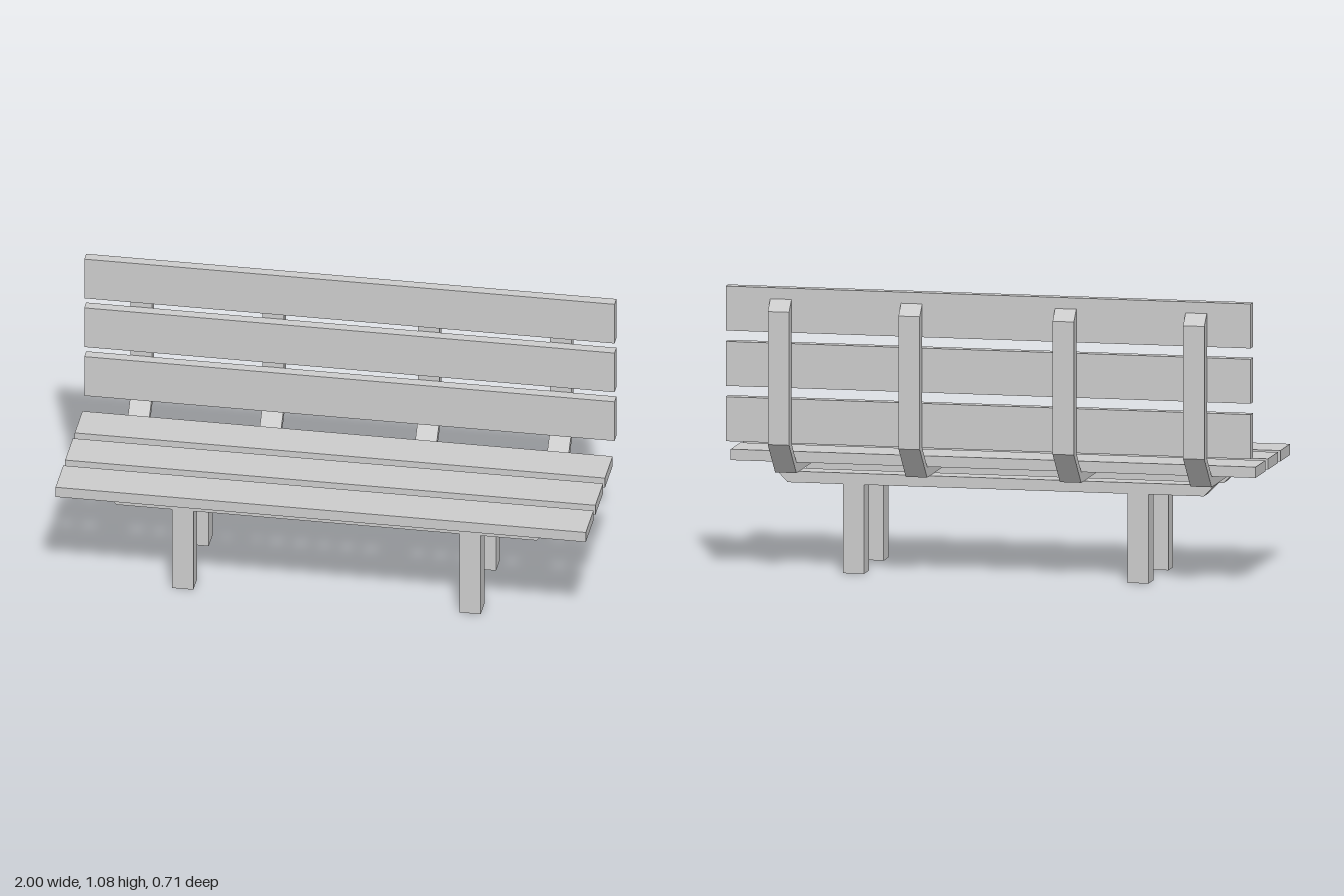
import * as THREE from 'three';

const material = new THREE.MeshStandardMaterial({ color: 0xcccccc, flatShading: true });

// Extrude a 2D outline, centred on its depth
function extrudeOutline(points, depth) {
  const shape = new THREE.Shape(points.map(([x, y]) => new THREE.Vector2(x, y)));
  return new THREE.ExtrudeGeometry(shape, { depth, bevelEnabled: false }).translate(0, 0, -depth / 2);
}

export function createModel() {
  const bench = new THREE.Group();
  bench.name = 'bench';

  function add(name, geometry, x, y, z) {
    const mesh = new THREE.Mesh(geometry, material);
    mesh.name = name;
    mesh.position.set(x, y, z);
    bench.add(mesh);
  }

  // Three flat seat planks and three upright back planks
  const seatPlank = new THREE.BoxGeometry(2, 0.041, 0.167);
  const backPlank = new THREE.BoxGeometry(2, 0.167, 0.041);
  for (let i = 0; i < 3; i++) {
    add('seatPlank', seatPlank, 0, 0.438, 0.271 - i * 0.2085);
    add('backPlank', backPlank, 0, 0.5845 + i * 0.208, -0.2915);
  }

  // Bent brackets running under the seat and up behind the back (outline in z, y)
  const bracket = extrudeOutline([
    [0.314, 0.4175], [0.272, 0.377], [-0.23, 0.377], [-0.354, 0.5], [-0.354, 1.0],
    [-0.312, 1.042], [-0.312, 0.501], [-0.229, 0.4175],
  ], 0.081).rotateY(-Math.PI / 2);
  for (const x of [-0.792, -0.295, 0.292, 0.79]) add('seatBracket', bracket, x, 0, 0);

  // Front and rear leg frames: a chamfered cross rail with two legs
  const half = [[0.833, 0.377], [0.793, 0.335], [0.582, 0.335], [0.582, 0], [0.502, 0], [0.502, 0.335]];
  const mirrored = half.map(([x, y]) => [-x, y]).reverse();
  const legFrame = extrudeOutline([...half, ...mirrored], 0.082);
  add('frontLegFrame', legFrame, 0, 0, 0.189);
  add('rearLegFrame', legFrame, 0, 0, -0.145);

  return bench;
}
